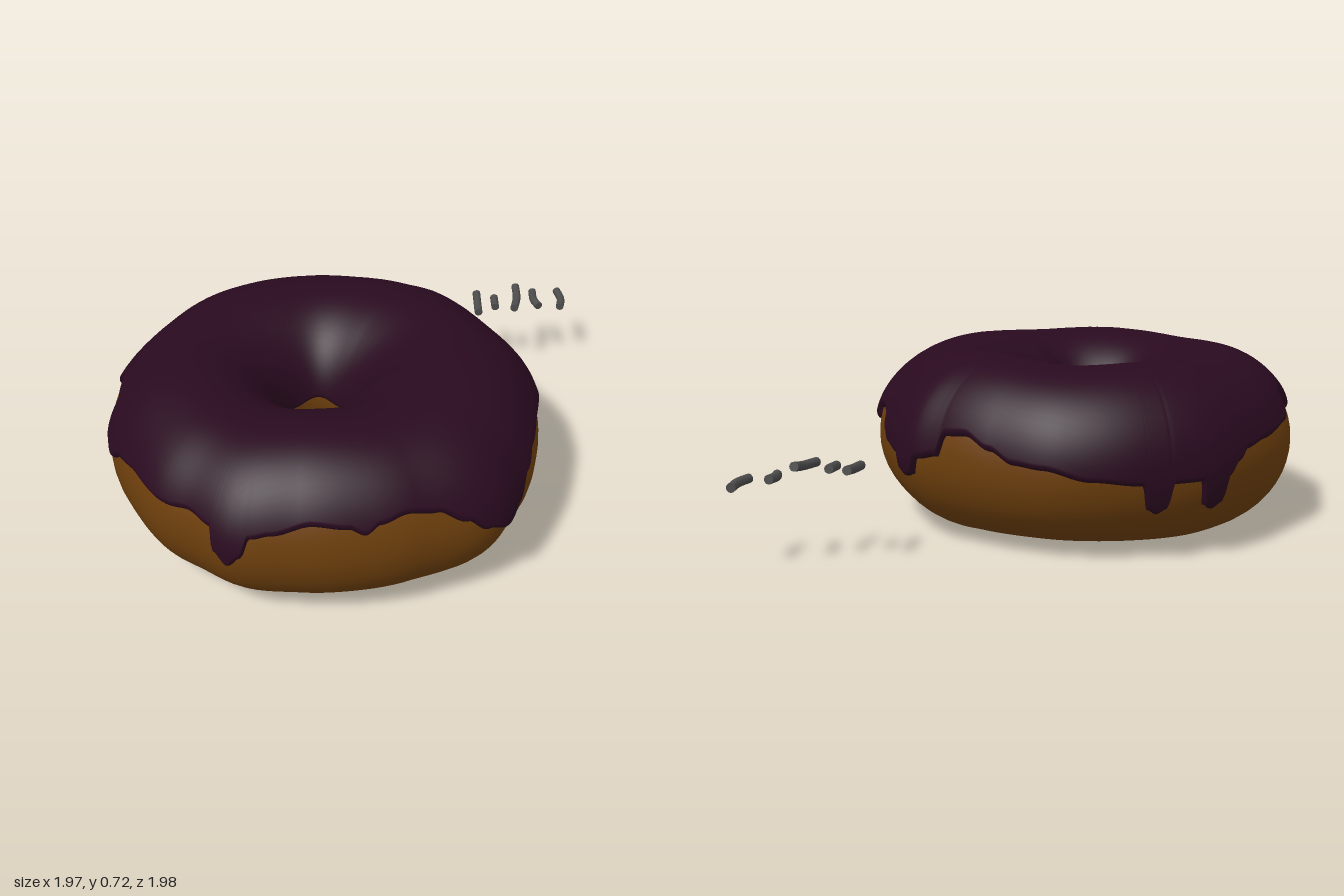
import * as THREE from 'three';

const CENTER = { x: -0.12, y: 0.345, z: 0.13 };
const RING = 0.51, TUBE = 0.35, TALL = 0.34;

// Lower rim of the icing on the outside: [degrees around from +x toward +z, height]
const OUTER_RIM = [
  [-180, 0.55], [-176, 0.54], [-170, 0.45], [-156, 0.42], [-147, 0.4], [-143, 0.36],
  [-139, 0.31], [-137.5, 0.21], [-135, 0.19], [-132.5, 0.21], [-131, 0.31],
  [-123, 0.31], [-121.5, 0.21], [-119, 0.19], [-116.5, 0.21], [-115, 0.31],
  [-102, 0.33], [-90, 0.37], [-82, 0.38], [-75, 0.42], [-67, 0.46], [-60, 0.45], [-58, 0.37],
  [-51, 0.35], [-49, 0.28], [-46, 0.265], [-43.5, 0.28], [-42, 0.34], [-34, 0.36], [-30, 0.39],
  [-27, 0.45], [-22, 0.47], [-11.5, 0.45], [-10.5, 0.4], [-8, 0.385], [-5.5, 0.4], [-4.5, 0.45],
  [10, 0.475], [22, 0.46], [29, 0.42], [35, 0.35], [41, 0.315], [48, 0.36], [53, 0.42],
  [60, 0.48], [68, 0.5], [75, 0.48], [79, 0.45], [83, 0.475], [92, 0.49], [102, 0.455],
  [107, 0.44], [109, 0.36], [112, 0.315], [115.5, 0.36], [117, 0.45], [124, 0.47], [131, 0.455],
  [145, 0.47], [155, 0.45], [160, 0.405], [165, 0.43], [172, 0.54], [180, 0.55],
];

// Uneven outline of the ring: [degrees, radius factor]
const OUTLINE = [
  [-180, 1.005], [-150, 0.98], [-136, 0.99], [-116, 0.975], [-95, 0.976], [-75, 0.953], [-60, 0.953],
  [-49, 0.982], [-30, 0.97], [-10, 1], [11, 0.998], [31, 1.015], [44, 1.045], [65, 0.99], [82, 0.98],
  [95, 0.985], [112, 1.02], [125, 0.998], [135, 1.01], [150, 0.997], [165, 1.005], [180, 1.005],
];

// Smooth interpolation between neighbouring keys
function sampleKeys(keys, deg) {
  let i = 0;
  while (i < keys.length - 2 && deg > keys[i + 1][0]) i++;
  const [a, va] = keys[i], [b, vb] = keys[i + 1];
  return THREE.MathUtils.lerp(va, vb, THREE.MathUtils.smoothstep(deg, a, b));
}

// Bump of one side of the hole, where the icing stops short
const holeBump = (deg) => Math.exp(-(((deg - 28) / 15) ** 2));

// Point on the uneven ring; theta 0 = outside, PI/2 = top, PI = hole; lift = height off the dough
function ringPoint(phi, theta, lift) {
  const deg = THREE.MathUtils.radToDeg(phi);
  const c = Math.cos(theta), s = Math.sin(theta);
  const outer = (1 + c) / 2, inner = 1 - outer;
  const radius = (RING + (TUBE + lift) * c) * THREE.MathUtils.lerp(1, sampleKeys(OUTLINE, deg), outer)
    - 0.025 * inner * holeBump(deg);
  const wave = s > 0
    ? s * (0.012 * Math.cos(phi) + 0.007 * Math.sin(5 * phi))
    : -s * 0.012 * (1 - Math.cos(2 * phi));
  return [
    CENTER.x + radius * Math.cos(phi) - 0.035 * inner,
    CENTER.y + (TALL + lift) * s + wave,
    CENTER.z + radius * Math.sin(phi) + inner * (0.01 + 0.025 * Math.sin(phi)),
  ];
}

// Surface that wraps around the ring; pointAt(phi, j) gives the j-th point of one cross-section
function wrapSurface(columns, rows, pointAt) {
  const positions = [], index = [];
  for (let i = 0; i < columns; i++) {
    const phi = -Math.PI + (i / columns) * Math.PI * 2;
    const next = ((i + 1) % columns) * (rows + 1);
    for (let j = 0; j <= rows; j++) {
      positions.push(...pointAt(phi, j));
      if (j === rows) continue;
      const a = i * (rows + 1) + j, b = next + j;
      index.push(a, a + 1, b, b, a + 1, b + 1);
    }
  }
  const geometry = new THREE.BufferGeometry();
  geometry.setAttribute('position', new THREE.Float32BufferAttribute(positions, 3));
  geometry.setIndex(index);
  geometry.computeVertexNormals();
  return geometry;
}

// Icing cross-section: a rounded lip at each rim and an even coat between
const LIP = 5, COAT = 28, ICING_ROWS = LIP * 2 + COAT;
function icingPoint(phi, j) {
  const deg = THREE.MathUtils.radToDeg(phi);
  const start = Math.asin((sampleKeys(OUTER_RIM, deg) - CENTER.y) / TALL);
  const end = Math.PI - 0.02 - 0.4 * holeBump(deg) + 0.04 * Math.sin(5 * phi);
  const lipAngle = 0.08;
  const fromRim = Math.min(j, ICING_ROWS - j);
  const turn = Math.min(fromRim / LIP, 1) * Math.PI / 2;
  const inset = lipAngle * (1 - Math.cos(turn));
  let theta;
  if (j <= LIP) theta = start + inset;
  else if (j >= LIP + COAT) theta = end - inset;
  else theta = THREE.MathUtils.lerp(start + lipAngle, end - lipAngle, (j - LIP) / COAT);
  return ringPoint(phi, theta, -0.004 + 0.03 * Math.sin(turn));
}

// Small loose rods beside the ring, each a short bent path
const RODS = [
  [[0.565, 0.365, -0.73], [0.565, 0.37, -0.8], [0.565, 0.38, -0.88]],
  [[0.645, 0.37, -0.77], [0.645, 0.372, -0.81], [0.645, 0.375, -0.85]],
  [[0.73, 0.375, -0.75], [0.75, 0.38, -0.84], [0.75, 0.395, -0.92]],
  [[0.855, 0.34, -0.83], [0.836, 0.345, -0.88], [0.836, 0.35, -0.95]],
  [[0.957, 0.325, -0.85], [0.97, 0.325, -0.92], [0.96, 0.325, -1.0]],
];

function makeRod(points, material) {
  const rod = new THREE.Group();
  rod.name = 'sprinkle';
  const curve = new THREE.CatmullRomCurve3(points.map((p) => new THREE.Vector3(...p)));
  const body = new THREE.Mesh(new THREE.TubeGeometry(curve, 8, 0.018, 12), material);
  body.name = 'sprinkleBody';
  rod.add(body);
  // Flat caps
  for (const t of [0, 1]) {
    const cap = new THREE.Mesh(new THREE.CircleGeometry(0.018, 12), material);
    cap.name = 'sprinkleCap';
    const facing = curve.getTangent(t).multiplyScalar(t ? 1 : -1);
    cap.position.copy(curve.getPoint(t));
    cap.quaternion.setFromUnitVectors(new THREE.Vector3(0, 0, 1), facing);
    rod.add(cap);
  }
  return rod;
}

export function createModel() {
  const material = (name, color) => {
    const m = new THREE.MeshStandardMaterial({ color });
    m.name = name;
    return m;
  };
  const doughBrown = material('dough brown', 0x6c3e0c);
  const icingPurple = material('icing purple', 0x290a1f);
  const sprinkleGrey = material('sprinkle grey', 0x4c4c4c);

  const model = new THREE.Group();
  model.name = 'doughnut';

  // Dough ring
  const rows = 48;
  const dough = new THREE.Mesh(
    wrapSurface(120, rows, (phi, j) => ringPoint(phi, -Math.PI / 2 + (j / rows) * Math.PI * 2, 0)),
    doughBrown);
  dough.name = 'dough';
  model.add(dough);

  // Dripping icing
  const icing = new THREE.Mesh(wrapSurface(720, ICING_ROWS, icingPoint), icingPurple);
  icing.name = 'icing';
  model.add(icing);

  // Sprinkles
  for (const points of RODS) model.add(makeRod(points, sprinkleGrey));

  return model;
}
